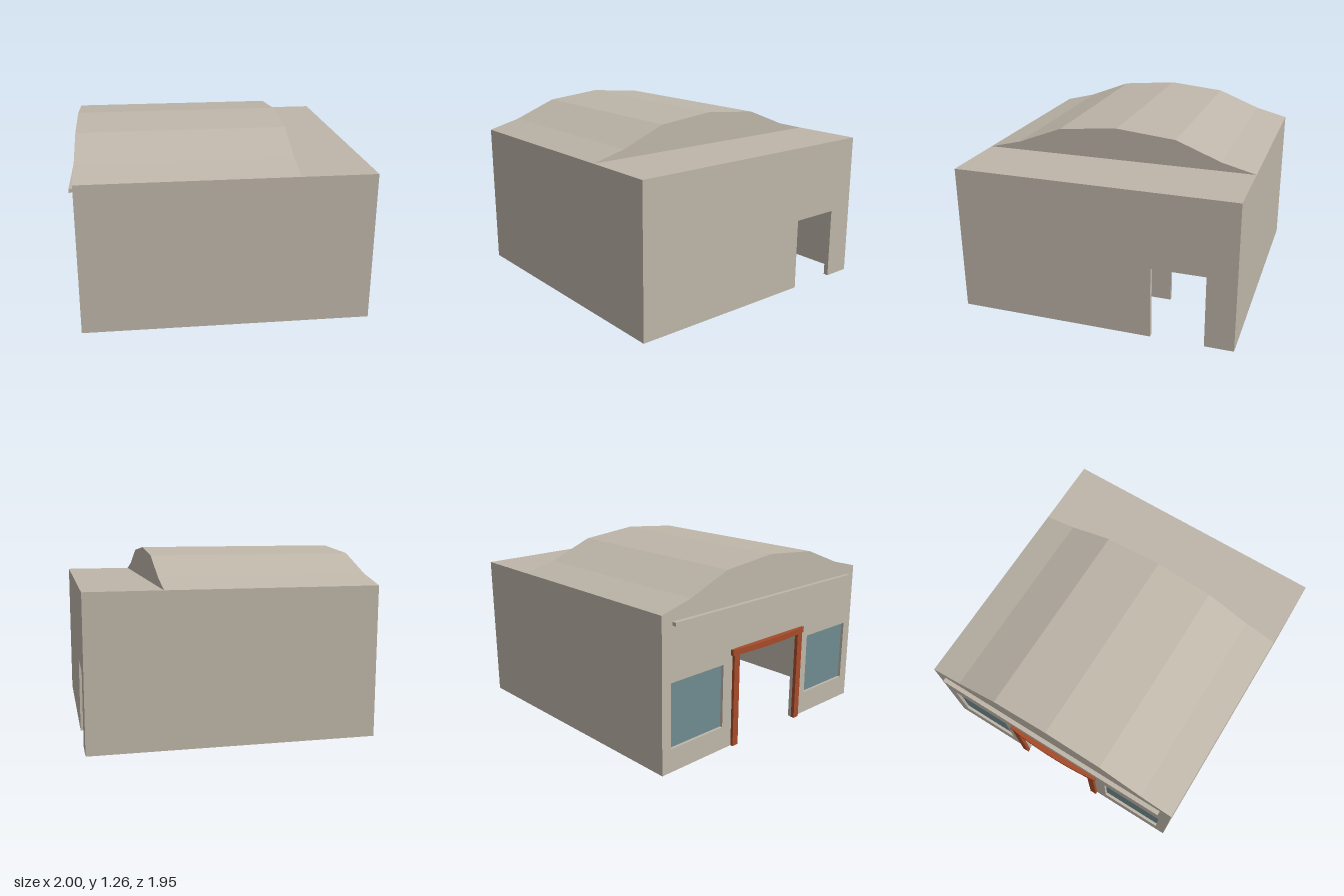
import * as THREE from 'three';

const T = 0.035;             // wall thickness
const X0 = -0.96, X1 = 1;    // outer end walls
const Z = 0.975, H = 1.04;   // half depth, wall height
const XP = 0.49;             // partition / end of the vaulted roof

export function createModel() {
  const group = new THREE.Group();
  const mat = (name, color) => {
    const m = new THREE.MeshStandardMaterial({ color });
    m.name = name;
    return m;
  };
  const plaster = mat('beige plaster', 0xbeb6a9);
  const glass = mat('teal glass', 0x6f8b90);
  const wood = mat('rust wood', 0xa64b2a);

  const add = (name, geometry, material) => {
    const mesh = new THREE.Mesh(geometry, material);
    mesh.name = name;
    group.add(mesh);
    return mesh;
  };
  // box given by its minimum and maximum corners
  const box = (name, x0, x1, y0, y1, z0, z1, material) =>
    add(name, new THREE.BoxGeometry(x1 - x0, y1 - y0, z1 - z0), material)
      .position.set((x0 + x1) / 2, (y0 + y1) / 2, (z0 + z1) / 2);
  const points = (list) => list.map(([a, b]) => new THREE.Vector2(a, b));
  // (z, y) outline extruded from x = xMax towards -x
  const slab = (name, outline, holes, xMax, depth, material) => {
    const shape = new THREE.Shape(points(outline));
    holes.forEach((h) => shape.holes.push(new THREE.Path(points(h))));
    const g = new THREE.ExtrudeGeometry(shape, { depth, bevelEnabled: false });
    g.rotateY(-Math.PI / 2).translate(xMax, 0, 0);
    return add(name, g, material);
  };
  const rect = (a, b, c, d) => [[a, c], [b, c], [b, d], [a, d]];

  // Roof outline, from +z over the ridge to -z
  const mirrored = (half) => [...half, ...half.slice(0, -1).reverse().map(([z, y]) => [-z, y])];
  const vault = mirrored([[Z, H], [0.74, 1.1], [0.42, 1.225], [0, 1.265]]);
  const vaultInner = mirrored([[Z - T, H], [0.73, 1.075], [0.415, 1.2], [0, 1.24]]);

  // Long walls
  const wi = Z - T;
  box('frontWall', X0 + T, X1 - T, 0, H, wi, Z, plaster);
  box('backWall', X0 + T, X1 - T, 0, H, -Z, -wi, plaster);

  // Side doorway, shared by the outer wall and the partition
  const doorway = [[-0.775, 0], [-0.775, 0.51], [-0.405, 0.51], [-0.405, 0]];
  slab('sideWall', [[-Z, 0], ...doorway, [Z, 0], [Z, H], [-Z, H]], [], X1, T, plaster);
  slab('partition', [[-wi, 0], ...doorway, [wi, 0], [wi, H], ...vault, [-wi, H]], [], XP, 0.03, plaster);

  // Entrance wall with gable, door opening and two windows
  const windows = [[-0.9, -0.44], [0.44, 0.9]];
  slab('entranceWall',
    [[-Z, 0], [-0.31, 0], [-0.31, 0.65], [0.31, 0.65], [0.31, 0], [Z, 0], ...vault],
    windows.map(([a, b]) => rect(a, b, 0.16, 0.6)), X0 + T, T, plaster);
  windows.forEach(([a, b]) =>
    box('windowPane', X0 + 0.02, X0 + 0.028, 0.16, 0.6, a, b, glass));

  // Roofs
  slab('vaultedRoof', [...vault, ...vaultInner.slice().reverse()], [], XP - 0.03, XP - 0.03 - X0 - T, plaster);
  box('flatRoof', XP, X1 - T, H - T, H, -wi, wi, plaster);

  // Rails above the entrance, outside and inside
  box('outerRail', -0.99, X0, 0.963, 0.987, -0.89, 0.89, plaster);
  box('innerRail', X0 + T, X0 + T + 0.02, 0.95, 0.975, -wi, wi, plaster);

  // Columns with round bases
  for (const s of [1, -1]) {
    add('column', new THREE.CylinderGeometry(0.03, 0.03, 1.04, 20), plaster).position.set(-0.63, 0.53, s * 0.825);
    add('columnBase', new THREE.CylinderGeometry(0.048, 0.048, 0.022, 20), plaster).position.set(-0.63, 0.011, s * 0.825);
  }

  // Door frame: two posts and a lintel that bows outwards
  for (const s of [1, -1]) {
    const a = s * 0.305, b = s * 0.355;
    box('doorPost', -0.98, -0.955, 0, 0.655, Math.min(a, b), Math.max(a, b), wood);
  }
  const bow = new THREE.Shape();
  bow.moveTo(-0.95, -0.37);
  bow.lineTo(-0.95, 0.37);
  bow.lineTo(-0.98, 0.37);
  bow.quadraticCurveTo(-1.02, 0, -0.98, -0.37);
  const lintel = new THREE.ExtrudeGeometry(bow, { depth: 0.04, bevelEnabled: false, curveSegments: 12 });
  lintel.rotateX(-Math.PI / 2).translate(0, 0.648, 0);
  add('doorLintel', lintel, wood);

  return group;
}
